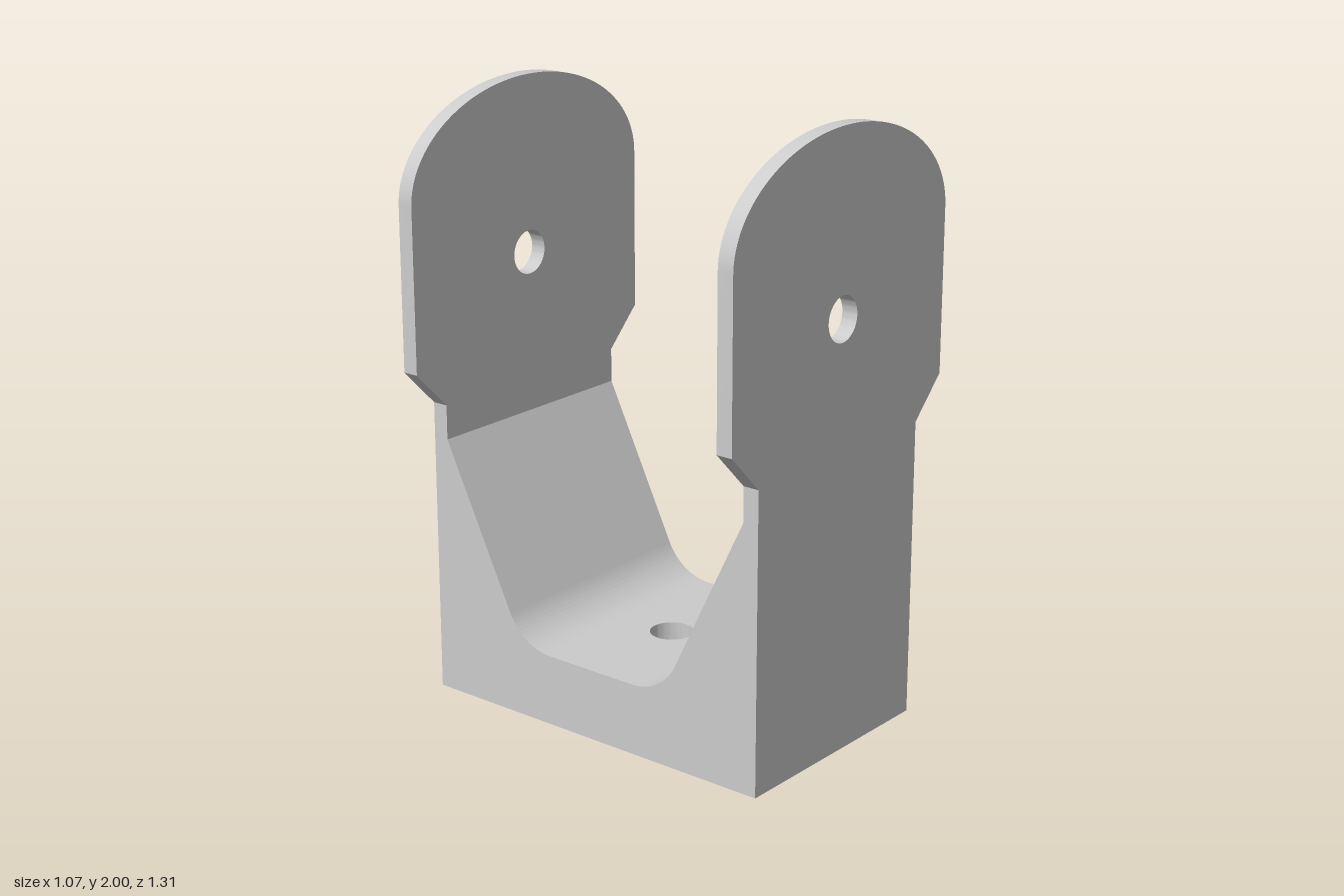
import * as THREE from 'three';
import { toCreasedNormals } from 'three/addons/utils/BufferGeometryUtils.js';

const HALF_W = 0.405, OUTER = 0.655, INNER = 0.6; // bracket half width, arm outer and inner face
const FLOOR = 0.237, JOINT = 0.17, NECK = 0.99;   // floor height, edge of flat floor, foot of the ear

// Remove the hidden faces that lie on a plane where two parts meet
function dropPlane(geometry, axis, value) {
  const src = geometry.index ? geometry.toNonIndexed() : geometry;
  const p = src.attributes.position, kept = [];
  for (let i = 0; i < p.count; i += 3) {
    const onPlane = [0, 1, 2].every(k => Math.abs(p.getComponent(i + k, axis) - value) < 1e-5);
    if (onPlane) continue;
    for (let k = 0; k < 3; k++) kept.push(p.getX(i + k), p.getY(i + k), p.getZ(i + k));
  }
  const out = new THREE.BufferGeometry();
  out.setAttribute('position', new THREE.Float32BufferAttribute(kept, 3));
  return out;
}

const extrude = (shape, depth) =>
  new THREE.ExtrudeGeometry(shape, { depth, bevelEnabled: false, curveSegments: 32 });

function circleHole(x, y, r) {
  return new THREE.Path().absarc(x, y, r, 0, Math.PI * 2, true);
}

// Flat middle of the base with the vertical bolt hole
function baseGeometry() {
  const shape = new THREE.Shape([
    new THREE.Vector2(-HALF_W, -JOINT), new THREE.Vector2(HALF_W, -JOINT),
    new THREE.Vector2(HALF_W, JOINT), new THREE.Vector2(-HALF_W, JOINT),
  ]);
  shape.holes.push(circleHole(0, 0, 0.072));
  const g = extrude(shape, FLOOR).rotateX(-Math.PI / 2);
  return dropPlane(dropPlane(g, 2, JOINT), 2, -JOINT);
}

// Arm with filleted, sloping inner side; profile drawn in z and y, swept along x
function armGeometry() {
  const shape = new THREE.Shape();
  shape.moveTo(JOINT, 0);
  shape.lineTo(OUTER, 0);
  shape.lineTo(OUTER, NECK);
  shape.lineTo(INNER, NECK);
  shape.lineTo(INNER, 0.875);
  shape.absarc(JOINT, FLOOR + 0.19, 0.19, -0.454, -Math.PI / 2, true);
  shape.closePath();
  const g = extrude(shape, HALF_W * 2).rotateY(-Math.PI / 2).translate(HALF_W, 0, 0);
  return dropPlane(dropPlane(g, 2, JOINT), 1, NECK);
}

// Widened ear with a domed top and pivot hole
function earGeometry() {
  const shape = new THREE.Shape();
  shape.moveTo(-HALF_W, NECK);
  shape.lineTo(HALF_W, NECK);
  shape.lineTo(0.533, 1.12);
  shape.lineTo(0.533, 1.66);
  shape.absellipse(0, 1.66, 0.533, 0.34, 0, Math.PI, false);
  shape.lineTo(-0.533, 1.12);
  shape.closePath();
  shape.holes.push(circleHole(0, 1.415, 0.073));
  const g = extrude(shape, OUTER - INNER).translate(0, 0, INNER);
  return dropPlane(g, 1, NECK);
}

export function createModel() {
  const model = new THREE.Group();
  model.name = 'clevisBracket';
  const material = new THREE.MeshStandardMaterial({ color: 0xcccccc });
  const add = (name, geometry, turn = 0) => {
    const mesh = new THREE.Mesh(geometry, material);
    mesh.name = name;
    mesh.rotation.y = turn;
    model.add(mesh);
  };

  add('base', toCreasedNormals(baseGeometry(), 0.5));

  // Front and back halves are the same parts, turned half way round
  const arm = toCreasedNormals(armGeometry(), 0.4);
  const ear = toCreasedNormals(earGeometry(), 0.5);
  for (const [side, turn] of [['front', 0], ['back', Math.PI]]) {
    add(side + 'Arm', arm, turn);
    add(side + 'Ear', ear, turn);
  }
  return model;
}
